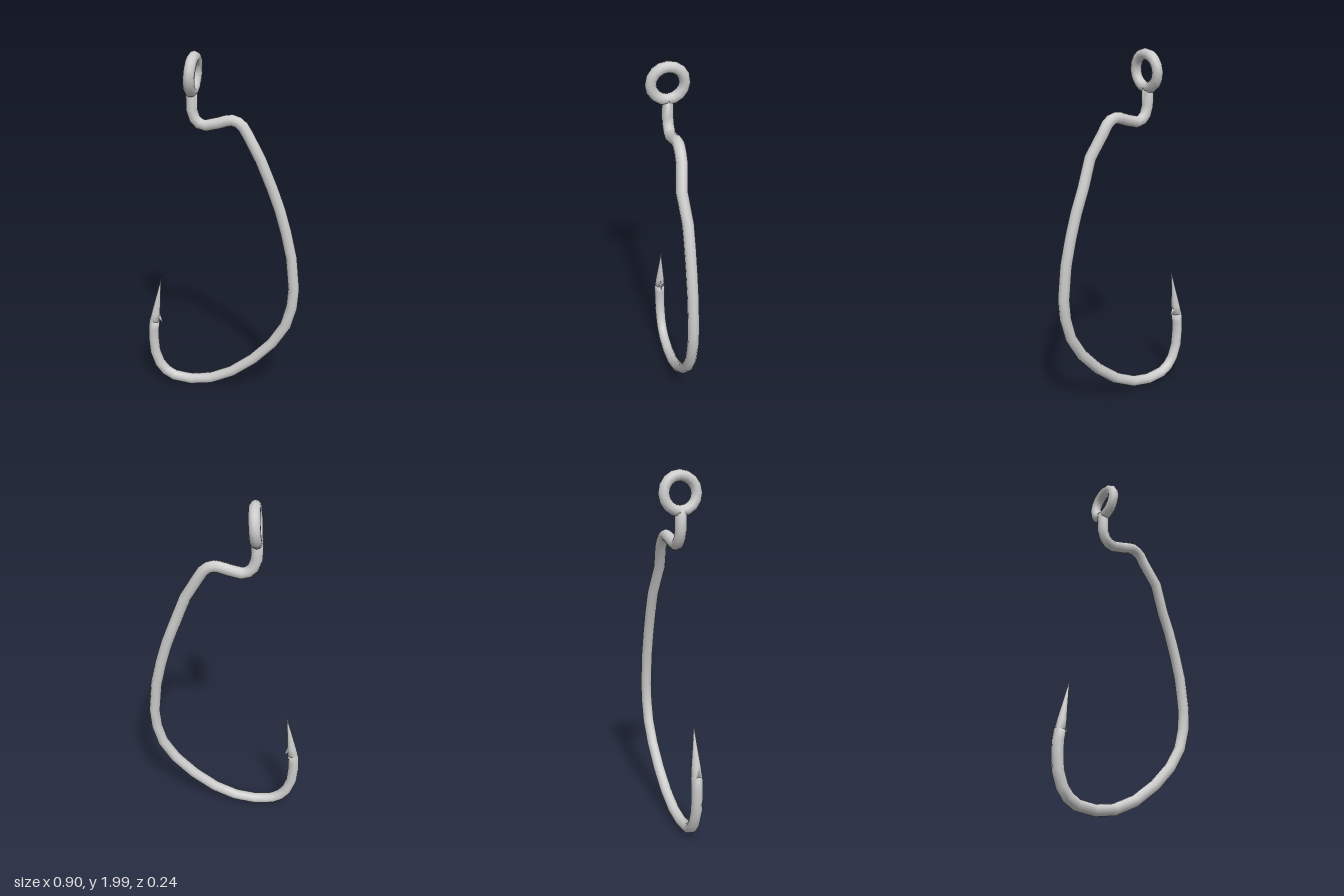
import * as THREE from 'three';

const WIRE = 0.032;

// Sweeps a round section along stations [x, y, z, radius], one ring per station.
function sweep(stations, sides) {
  const pts = stations.map(([x, y, z = 0]) => new THREE.Vector3(x, y, z));
  const positions = [], index = [];
  pts.forEach((p, i) => {
    const before = pts[Math.max(i - 1, 0)], after = pts[Math.min(i + 1, pts.length - 1)];
    const tangent = after.clone().sub(before).normalize();
    const normal = new THREE.Vector3(0, 0, 1).cross(tangent).normalize();
    const side = tangent.clone().cross(normal);
    const r = stations[i][3] ?? WIRE;
    for (let j = 0; j < sides; j++) {
      const a = (j / sides) * Math.PI * 2;
      const v = p.clone().addScaledVector(normal, r * Math.cos(a)).addScaledVector(side, r * Math.sin(a));
      positions.push(v.x, v.y, v.z);
    }
  });
  for (let i = 0; i < pts.length - 1; i++) {
    for (let j = 0; j < sides; j++) {
      const k = (j + 1) % sides;
      const a = i * sides + j, b = i * sides + k, c = b + sides, d = a + sides;
      index.push(a, b, c, a, c, d);
    }
  }
  // Flat caps
  const last = (pts.length - 1) * sides;
  for (let j = 1; j < sides - 1; j++) {
    index.push(0, j + 1, j, last, last + j, last + j + 1);
  }
  const geometry = new THREE.BufferGeometry();
  geometry.setAttribute('position', new THREE.Float32BufferAttribute(positions, 3));
  geometry.setIndex(index);
  geometry.computeVertexNormals();
  return geometry;
}

export function createModel() {
  const group = new THREE.Group();
  const metal = new THREE.MeshStandardMaterial({ color: 0xcccccc });
  const faceted = new THREE.MeshStandardMaterial({ color: 0xcccccc, flatShading: true });
  const add = (name, geometry, material = metal) => {
    const mesh = new THREE.Mesh(geometry, material);
    mesh.name = name;
    group.add(mesh);
    return mesh;
  };

  // Line eye, leaning slightly toward the bend
  const eyeGeometry = new THREE.TorusGeometry(0.091, 0.031, 10, 16);
  eyeGeometry.rotateY(Math.PI / 2).rotateZ(-0.08);
  add('eye', eyeGeometry).position.set(-0.157, 1.878, 0);

  // Neck, offset shoulder, shank and bend in one wire
  add('wire', sweep([
    [-0.166, 1.80], [-0.166, 1.69], [-0.15, 1.642], [-0.125, 1.617], [-0.09, 1.607],
    [-0.02, 1.623], [0.025, 1.637], [0.055, 1.641], [0.085, 1.632], [0.112, 1.61],
    [0.14, 1.565], [0.212, 1.44, 0.018], [0.275, 1.28], [0.32, 1.16], [0.358, 1.03],
    [0.393, 0.88], [0.413, 0.69], [0.405, 0.575], [0.373, 0.455], [0.30, 0.335],
    [0.19, 0.218], [0.06, 0.118], [-0.07, 0.057], [-0.19, 0.037], [-0.295, 0.048],
    [-0.347, 0.078], [-0.385, 0.125], [-0.413, 0.205], [-0.42, 0.30], [-0.418, 0.36], [-0.411, 0.41],
  ], 10));

  // Ground point
  add('point', sweep([
    [-0.412, 0.405, 0, 0.031], [-0.402, 0.46, 0, 0.026], [-0.382, 0.58, 0, 0.012], [-0.363, 0.687, 0, 0.001],
  ], 10));

  // Barb on the inside of the point
  add('barb', sweep([
    [-0.392, 0.49, 0, 0.008], [-0.387, 0.44, 0, 0.015], [-0.362, 0.40, 0, 0.001],
  ], 4), faceted);

  return group;
}
